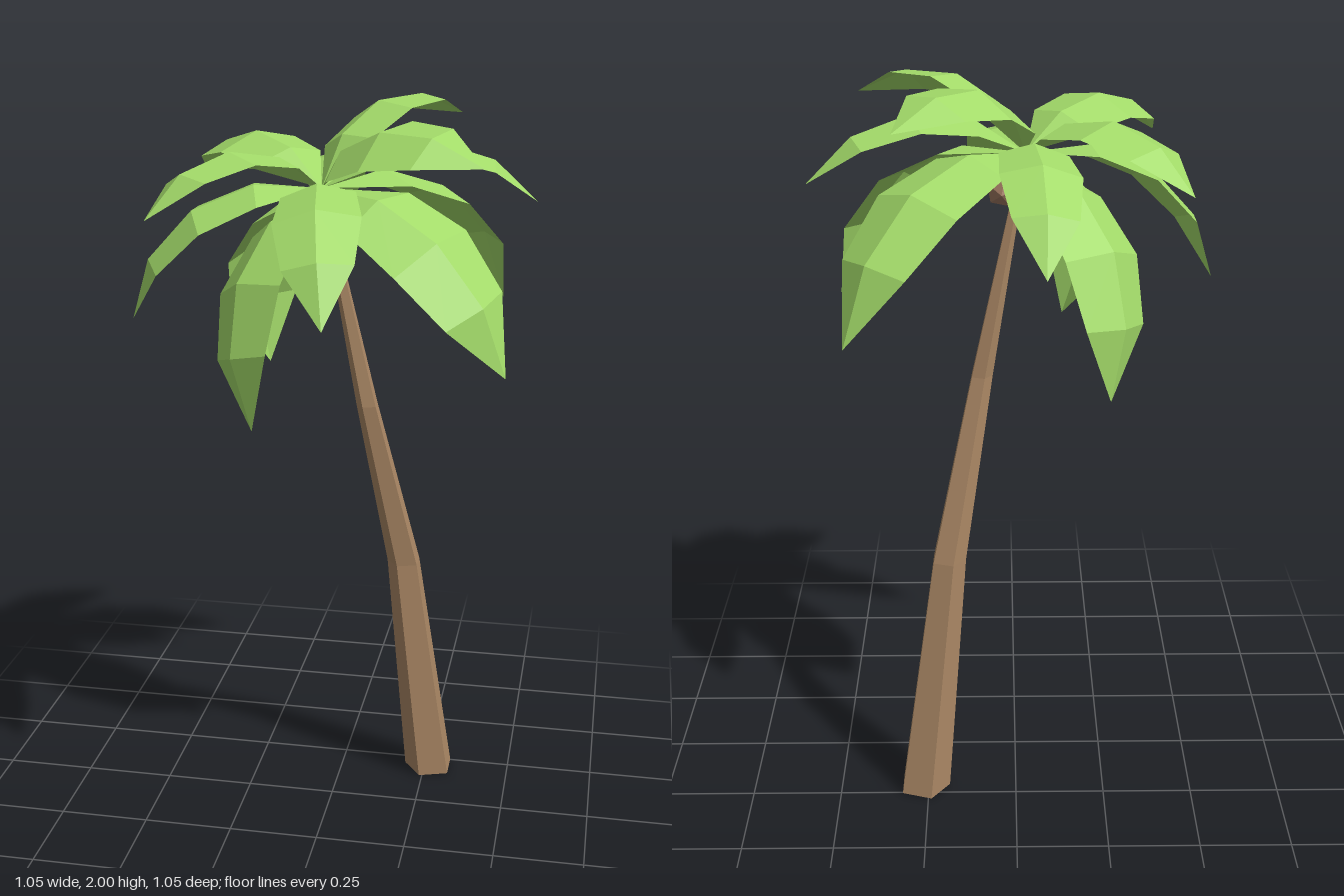
import * as THREE from 'three';

const CROWN = new THREE.Vector3(-0.027, 1.795, 0.007);
const BEND = THREE.MathUtils.degToRad(26); // downward turn between frond segments

// Faceted normals, one per face
function faceted(geometry) {
  const flat = geometry.index ? geometry.toNonIndexed() : geometry;
  flat.computeVertexNormals();
  return flat;
}

// Five-sided open trunk: rings of [x, y, z, radius] from the ground up
function trunkGeometry() {
  const rings = [
    [0.264, 0, -0.21, 0.074],
    [0.185, 0.7, -0.146, 0.049],
    [0.091, 1.2, -0.039, 0.031],
    [-0.027, 1.8, 0.007, 0.01],
  ];
  const geometry = new THREE.CylinderGeometry(1, 1, 1, 5, 3, true, -Math.PI / 2);
  const p = geometry.attributes.position;
  for (let i = 0; i < p.count; i++) {
    const [x, y, z, r] = rings[Math.round((p.getY(i) + 0.5) * 3)];
    p.setXYZ(i, x + p.getX(i) * r, y, z + p.getZ(i) * r);
  }
  return faceted(geometry);
}

// Arched frond from the crown to a tip: four equal segments with a raised midrib,
// the whole arch rolled about the line from crown to tip
function frondGeometry(tip, width, roll) {
  const chord = tip.clone().sub(CROWN);
  const axis = chord.clone().normalize();
  const side = new THREE.Vector3(chord.z, 0, -chord.x).normalize()
    .applyAxisAngle(axis, THREE.MathUtils.degToRad(roll));
  const up = axis.clone().cross(side);
  const step = chord.length() / (2 * Math.cos(BEND / 2) + 2 * Math.cos(1.5 * BEND));
  const halves = [0, 0.108, 0.125, 0.1, 0].map((h) => h * width);

  const along = (angle) => axis.clone().multiplyScalar(Math.cos(angle)).addScaledVector(up, Math.sin(angle));
  const rib = [CROWN.clone()];
  for (let i = 0; i < 4; i++) {
    rib.push(rib[i].clone().addScaledVector(along((1.5 - i) * BEND), step));
  }
  const edge = (i, sign) => {
    const normal = along((2 - i) * BEND + Math.PI / 2);
    return rib[i].clone().addScaledVector(side, sign * halves[i]).addScaledVector(normal, -0.3 * halves[i]);
  };

  const corners = [];
  const tri = (a, b, c, sign) => corners.push(...(sign > 0 ? [a, b, c] : [a, c, b]));
  for (const sign of [1, -1]) {
    for (let i = 0; i < 4; i++) {
      if (i < 3) tri(rib[i], rib[i + 1], edge(i + 1, sign), sign);
      if (i > 0 && i < 3) tri(rib[i], edge(i + 1, sign), edge(i, sign), sign);
      if (i === 3) tri(rib[i], rib[i + 1], edge(i, sign), sign);
    }
  }
  return faceted(new THREE.BufferGeometry().setFromPoints(corners));
}

export function createModel() {
  const model = new THREE.Group();
  model.name = 'palmTree';

  const bark = new THREE.MeshStandardMaterial({ color: 0xab8865, side: THREE.DoubleSide });
  bark.name = 'bark';
  const leaf = new THREE.MeshStandardMaterial({ color: 0xa3db69, side: THREE.DoubleSide });
  leaf.name = 'leafGreen';
  const shell = new THREE.MeshStandardMaterial({ color: 0xa07a62 });
  shell.name = 'coconutBrown';

  const add = (name, geometry, material) => {
    const mesh = new THREE.Mesh(geometry, material);
    mesh.name = name;
    model.add(mesh);
    return mesh;
  };

  add('trunk', trunkGeometry(), bark);

  // Fronds: tip x, y, z, width factor and roll in degrees
  const fronds = {
    upper: [
      [-0.425, 1.77, -0.355, 0.98, -5],
      [0.29, 1.94, -0.43, 0.93, -12],
      [0.42, 1.9, 0.28, 1, 23],
      [-0.39, 1.77, 0.395, 0.93, 8],
    ],
    middle: [
      [-0.07, 1.62, -0.53, 0.82, -5],
      [0.525, 1.75, -0.14, 0.8, 0],
      [0.07, 1.55, 0.525, 0.88, 6],
      [-0.53, 1.44, 0.07, 0.87, -12],
    ],
    lower: [
      [0.42, 1.42, -0.44, 1.1, -3],
      [0.48, 1.36, 0.19, 1.13, 22],
      [-0.14, 1.24, 0.36, 1.08, 28],
      [-0.24, 1.23, -0.31, 1.12, -15],
    ],
  };
  for (const [tier, tips] of Object.entries(fronds)) {
    tips.forEach(([x, y, z, width, roll], i) =>
      add(`${tier}Frond${i + 1}`, frondGeometry(new THREE.Vector3(x, y, z), width, roll), leaf));
  }

  // Coconuts clustered under the crown
  const nuts = [[0.03, 1.72, -0.07], [-0.06, 1.71, 0.025], [0.02, 1.71, 0.04]];
  nuts.forEach((at, i) => {
    const nut = add(`coconut${i + 1}`, faceted(new THREE.IcosahedronGeometry(0.048)), shell);
    nut.position.set(...at);
    nut.rotation.set(0.4 + i, i * 1.3, 0.2);
  });

  return model;
}
